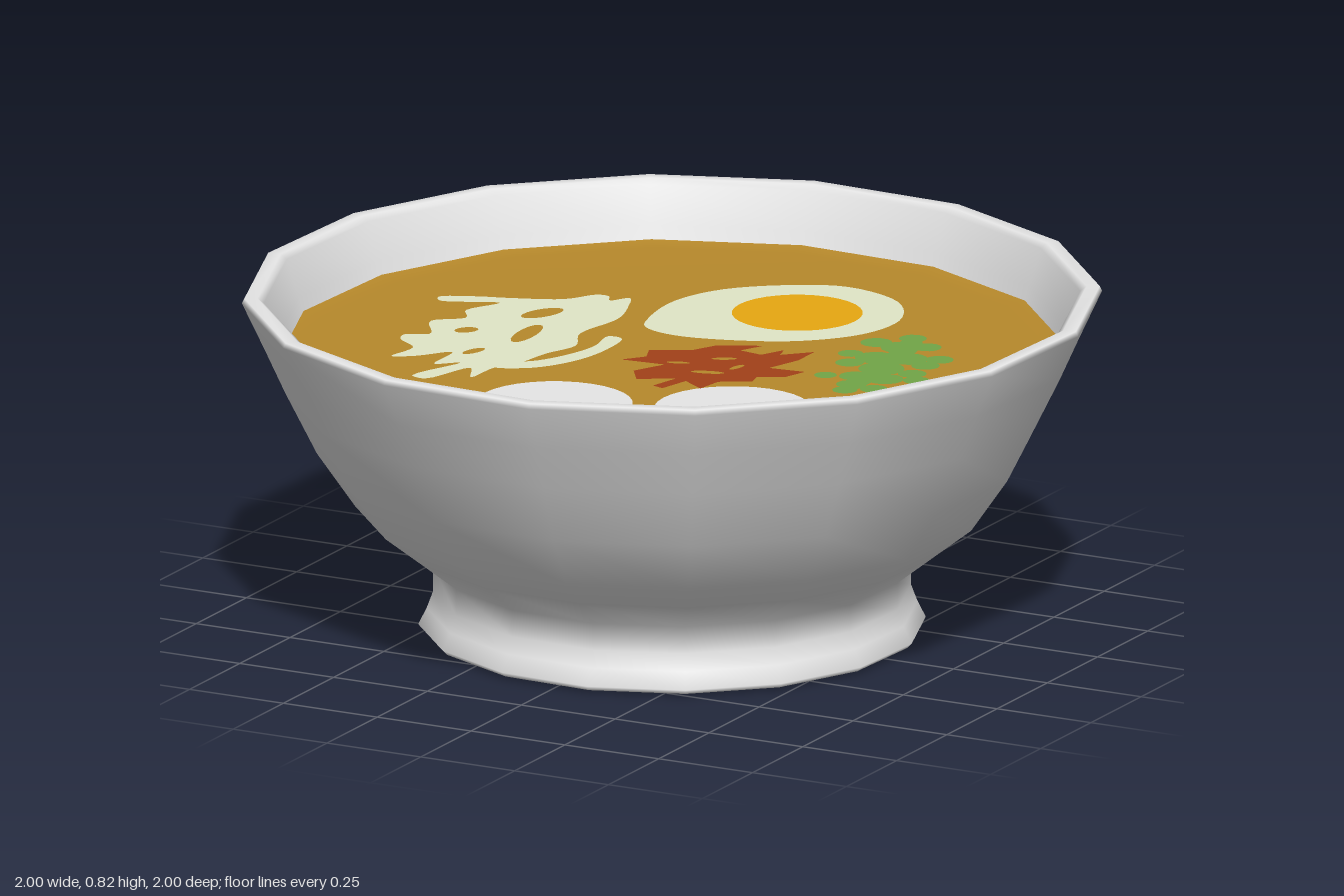
import * as THREE from 'three';

const SIDES = 16, TURN = 0.152, SOUP_Y = 0.68;
const mat = (name, color) => new THREE.MeshStandardMaterial({ name, color });
const V = (p) => new THREE.Vector2(p[0], p[1]);

export function createModel() {
  const model = new THREE.Group();
  model.name = 'soupBowl';
  const ceramic = mat('ceramic', 0xe6e6e6);
  const broth = mat('broth', 0xb7892b);
  const cream = mat('cream', 0xe1e6c7);
  const yolkColor = mat('yolk', 0xffb914);
  const chili = mat('chili', 0xa24119);
  const herb = mat('herb', 0x71a547);

  const add = (name, geometry, material, y = 0, parent = model) => {
    const mesh = new THREE.Mesh(geometry, material);
    mesh.name = name;
    mesh.position.y = y;
    parent.add(mesh);
    return mesh;
  };
  const lathe = (pts) => new THREE.LatheGeometry(pts.map(V), SIDES, TURN);

  // Flat topping from a closed outline of [x, z] points, with optional holes
  const flat = (outline, holes = [], smooth = true) => {
    const trace = (pts) => {
      const p = pts.map(([x, z]) => new THREE.Vector3(x, -z, 0));
      if (!smooth) return p.map((q) => new THREE.Vector2(q.x, q.y));
      return new THREE.CatmullRomCurve3(p, true).getPoints(p.length * 5)
        .slice(0, -1).map((q) => new THREE.Vector2(q.x, q.y));
    };
    const shape = new THREE.Shape(trace(outline));
    // Each hole is an ellipse: x, z, half width, half height, tilt
    for (const [x, z, a, b, t] of holes) {
      const path = new THREE.Path();
      path.absellipse(x, -z, a, b, 0, Math.PI * 2, true, t);
      shape.holes.push(path);
    }
    return new THREE.ShapeGeometry(shape, 8).rotateX(-Math.PI / 2);
  };
  const disc = (x, z, r, n = 32) =>
    new THREE.CircleGeometry(r, n).rotateX(-Math.PI / 2).translate(x, 0, z);

  // Bowl: base, flared foot, outer wall, rim and inner wall
  add('bowl', lathe([
    [0, 0.003], [0.56, 0.003], [0.585, 0.008], [0.597, 0.02], [0.577, 0.06],
    [0.562, 0.1], [0.562, 0.165], [0.65, 0.235], [0.745, 0.31], [0.835, 0.44],
    [0.91, 0.59], [0.96, 0.7], [1.0116, 0.81], [1.006, 0.822], [0.975, 0.822],
    [0.96, 0.81], [0.93, 0.72], [0.905, 0.65],
  ]), ceramic);

  // Broth with a slightly raised edge
  add('broth', lathe([[0.918, SOUP_Y + 0.008], [0.87, SOUP_Y], [0, SOUP_Y]]), broth);

  const top = SOUP_Y + 0.005;

  // Halved egg
  const egg = new THREE.Group();
  egg.name = 'egg';
  model.add(egg);
  add('eggWhite', flat([
    [-0.17, -0.2], [-0.185, -0.36], [-0.13, -0.5], [0, -0.61], [0.12, -0.655],
    [0.28, -0.6], [0.36, -0.46], [0.34, -0.32], [0.24, -0.2], [0.1, -0.13],
    [-0.05, -0.1], [-0.14, -0.13],
  ]), cream, top, egg);
  add('eggYolk', disc(0.125, -0.39, 0.154), yolkColor, top + 0.005, egg);

  // Two round slices
  for (const [x, z] of [[-0.025, 0.54], [0.365, 0.38]]) {
    add('roundSlice', disc(x, z, 0.185), ceramic, top);
  }

  // Pile of sprouts with one loose strand
  add('sprouts', flat([
    [-0.69, -0.13], [-0.62, -0.17], [-0.53, -0.2], [-0.42, -0.25], [-0.37, -0.32],
    [-0.34, -0.32], [-0.32, -0.29], [-0.29, -0.33], [-0.26, -0.27], [-0.23, -0.16],
    [-0.25, -0.01], [-0.21, 0.09], [-0.24, 0.18], [-0.26, 0.29], [-0.29, 0.34],
    [-0.3, 0.44], [-0.34, 0.37], [-0.39, 0.5], [-0.43, 0.49], [-0.38, 0.34],
    [-0.43, 0.38], [-0.44, 0.27], [-0.5, 0.34], [-0.55, 0.37], [-0.54, 0.28],
    [-0.6, 0.23], [-0.61, 0.19], [-0.56, 0.16], [-0.61, 0.06], [-0.55, 0.0],
    [-0.58, -0.06], [-0.54, -0.15], [-0.67, -0.1],
  ], [
    [-0.53, -0.04, 0.02, 0.055, -0.3], [-0.41, -0.12, 0.03, 0.06, -0.4],
    [-0.36, 0.05, 0.025, 0.08, 0.1], [-0.5, 0.09, 0.022, 0.03, -0.6],
    [-0.4, 0.24, 0.015, 0.035, -0.3],
  ]), cream, top);
  add('looseSprout', flat([
    [-0.18, -0.02], [-0.145, -0.02], [-0.13, 0.08], [-0.15, 0.2], [-0.21, 0.3],
    [-0.29, 0.34], [-0.28, 0.29], [-0.23, 0.24], [-0.19, 0.16], [-0.17, 0.07],
  ]), cream, top);

  // Shredded chili
  add('chiliShreds', flat([
    [-0.06, 0.14], [-0.02, 0.09], [-0.04, 0.04], [0.05, -0.01], [0.08, -0.07],
    [0.18, -0.12], [0.15, -0.06], [0.21, -0.05], [0.24, -0.11], [0.25, -0.07],
    [0.31, -0.13], [0.31, -0.05], [0.28, 0.04], [0.37, 0.03], [0.35, 0.09],
    [0.29, 0.12], [0.3, 0.16], [0.23, 0.2], [0.22, 0.27], [0.16, 0.23],
    [0.14, 0.31], [0.11, 0.3], [0.13, 0.22], [0.05, 0.27], [0.01, 0.21],
    [0.05, 0.13],
  ], [
    [0.15, 0.02, 0.03, 0.01, 0.5], [0.17, 0.14, 0.04, 0.012, 0.3],
    [0.07, 0.1, 0.028, 0.009, 0.3], [0.21, 0.07, 0.009, 0.026, -0.2],
  ], false), chili, top);

  // Herb sprig: small leaf lobes around a stem
  const sprig = new THREE.Group();
  sprig.name = 'herbSprig';
  model.add(sprig);
  const lobes = [
    [0.46, -0.34, 0.033], [0.4, -0.27, 0.038], [0.47, -0.26, 0.048], [0.525, -0.29, 0.034],
    [0.39, -0.16, 0.03], [0.46, -0.155, 0.05], [0.53, -0.18, 0.05], [0.6, -0.21, 0.034],
    [0.595, -0.15, 0.034], [0.425, -0.09, 0.034], [0.515, -0.08, 0.055], [0.6, -0.075, 0.034],
    [0.635, -0.03, 0.032], [0.565, -0.005, 0.044], [0.49, 0.005, 0.038], [0.425, 0.03, 0.027],
    [0.515, 0.07, 0.036], [0.58, 0.08, 0.033], [0.525, 0.12, 0.03],
  ];
  for (const [x, z, r] of lobes) add('herbLeaf', disc(x, z, r, 14), herb, top, sprig);
  add('herbStem', flat([
    [0.45, -0.33], [0.49, -0.33], [0.54, -0.1], [0.54, 0.12], [0.51, 0.12], [0.49, -0.1],
  ]), herb, top, sprig);

  return model;
}
